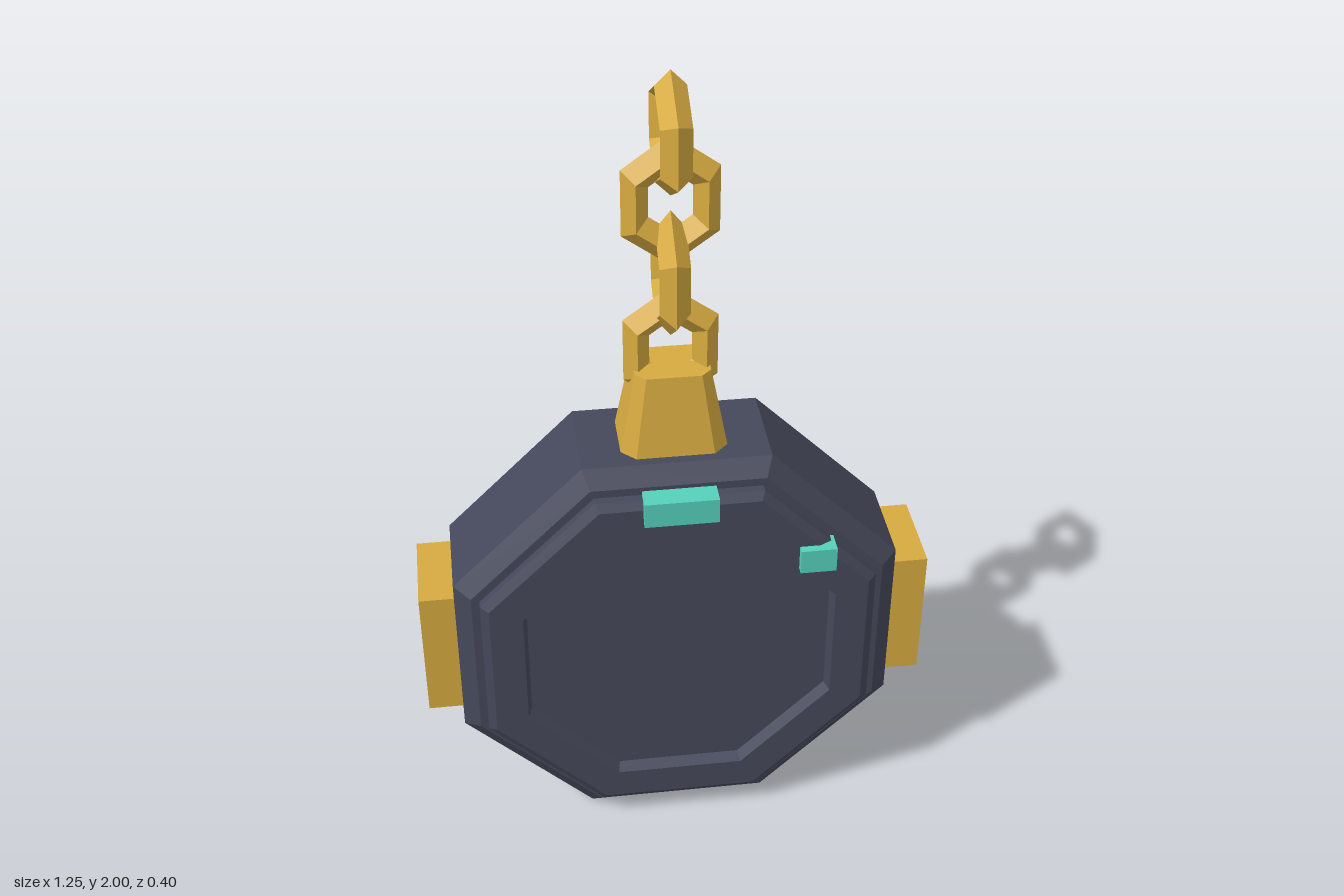
import * as THREE from 'three';

const DEPTH_CENTRE = -0.01;
const BODY_Y = 0.54;

export function createModel() {
  const group = new THREE.Group();
  const slate = new THREE.MeshStandardMaterial({ color: 0x45485a });
  const gold = new THREE.MeshStandardMaterial({ color: 0xd6aa40 });
  const teal = new THREE.MeshStandardMaterial({ color: 0x56d0bb });
  slate.name = 'slate';
  gold.name = 'gold';
  teal.name = 'teal';

  // Faceted mesh: split vertices so every face gets its own normal
  const add = (name, geometry, material, x = 0, y = 0, z = 0) => {
    const faceted = geometry.index ? geometry.toNonIndexed() : geometry;
    faceted.computeVertexNormals();
    const mesh = new THREE.Mesh(faceted, material);
    mesh.name = name;
    mesh.position.set(x, y, z);
    group.add(mesh);
    return mesh;
  };

  // Octagonal case with stepped rims and a recessed panel on both faces: [apothem, z]
  const profile = [
    [0, -0.17], [0.37, -0.17], [0.38, -0.2], [0.46, -0.2], [0.48, -0.185], [0.48, -0.165],
    [0.5, -0.165], [0.54, -0.13], [0.54, 0.11], [0.5, 0.145],
    [0.48, 0.145], [0.48, 0.165], [0.46, 0.18], [0.38, 0.18], [0.37, 0.15], [0, 0.15],
  ].map(([a, z]) => new THREE.Vector2(a / Math.cos(Math.PI / 8), z));
  const caseGeometry = new THREE.LatheGeometry(profile, 8, Math.PI / 8);
  caseGeometry.rotateX(Math.PI / 2);
  add('case', caseGeometry, slate, 0, BODY_Y, 0);

  // Side blocks
  for (const [side, name] of [[1, 'leftBlock'], [-1, 'rightBlock']]) {
    add(name, new THREE.BoxGeometry(0.125, 0.35, 0.225), gold, side * 0.5625, 0.545, DEPTH_CENTRE);
  }

  // Raised markers on the front rim
  add('topMarker', new THREE.BoxGeometry(0.175, 0.065, 0.055), teal, 0, 0.9975, 0.1725);
  add('sideMarker', new THREE.BoxGeometry(0.087, 0.065, 0.055), teal, 0.329, 0.8225, 0.1725);

  // Tapered chain mount with chamfered corners
  const w = 0.13, d = 0.1, c = 0.035, height = 0.22;
  const outline = new THREE.Shape([
    [w - c, -d], [w, c - d], [w, d - c], [w - c, d],
    [c - w, d], [-w, d - c], [-w, c - d], [c - w, -d],
  ].map(([x, y]) => new THREE.Vector2(x, y)));
  const mount = new THREE.ExtrudeGeometry(outline, { depth: height, bevelEnabled: false });
  mount.rotateX(-Math.PI / 2);
  const p = mount.attributes.position;
  for (let i = 0; i < p.count; i++) {
    const s = 1 - 0.32 * p.getY(i) / height;
    p.setX(i, p.getX(i) * s);
    p.setZ(i, p.getZ(i) * s);
  }
  add('chainMount', mount, gold, 0, 1.06, DEPTH_CENTRE);

  // Hexagonal links, alternately turned: [centre y, outer half width, outer half height]
  const links = [[1.32, 0.11, 0.16], [1.512, 0.11, 0.16], [1.695, 0.11, 0.16], [1.854, 0.127, 0.146]];
  links.forEach(([y, halfWidth, halfHeight], i) => {
    const radius = halfWidth / Math.cos(Math.PI / 6);
    const link = new THREE.TorusGeometry(radius - 0.035, 0.035, 4, 6);
    link.rotateZ(Math.PI / 2);
    link.scale(1, halfHeight / radius, 1);
    if (i % 2) link.rotateY(Math.PI / 2);
    add('chainLink' + (i + 1), link, gold, 0, y, DEPTH_CENTRE);
  });

  return group;
}
